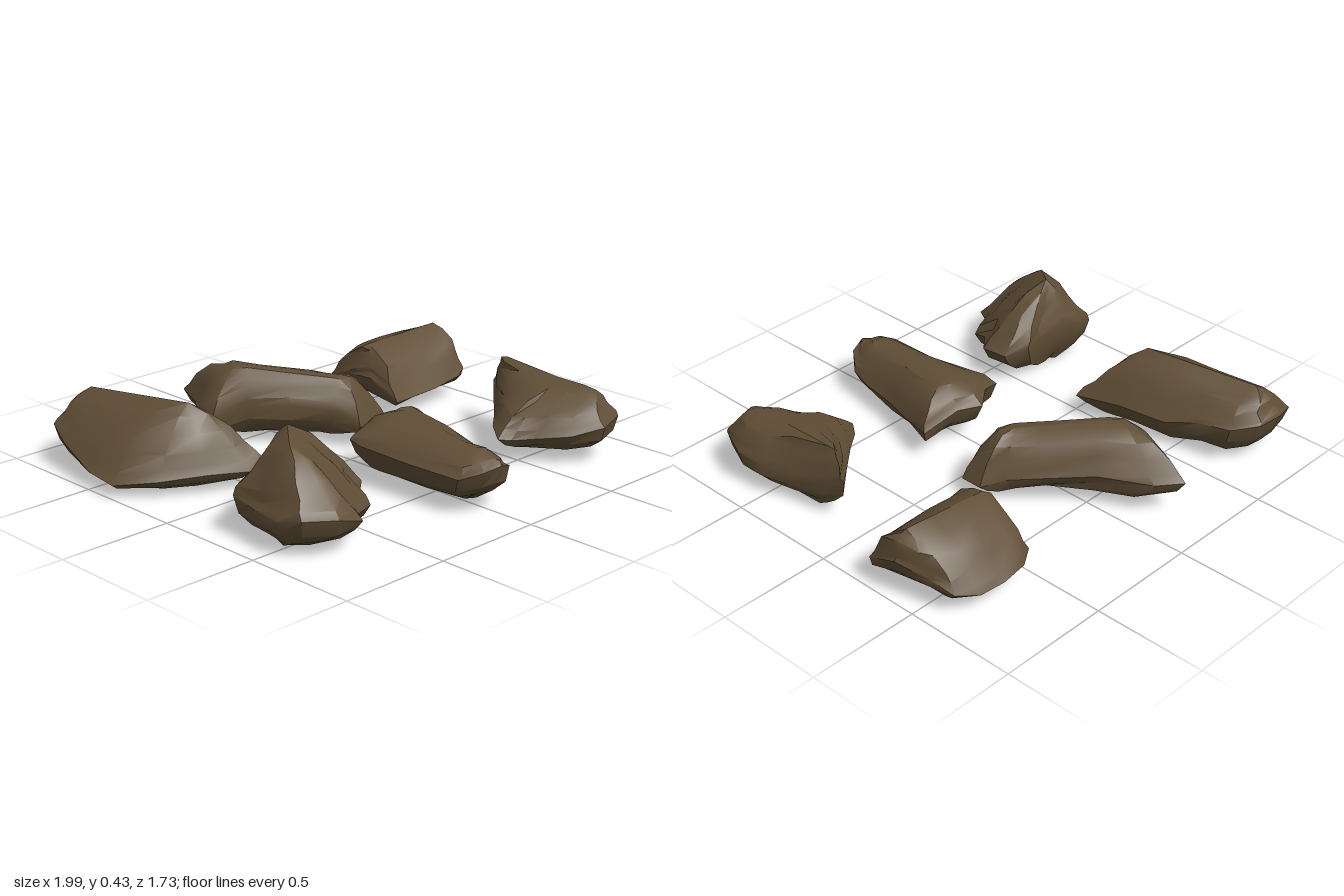
import * as THREE from 'three';
import { toCreasedNormals } from 'three/addons/utils/BufferGeometryUtils.js';

const stone = new THREE.MeshStandardMaterial({ color: 0x604e36, side: THREE.DoubleSide });
stone.name = 'brownStone';

// Small seeded generator for surface chips
function seeded(seed) {
  let s = seed * 7919 + 17;
  return () => {
    s = (s * 16807) % 2147483647;
    return s / 2147483647 - 0.5;
  };
}

// A rock: widest outline [x, z, y] clockwise from above, closing up onto a ridge
// segment [x, y, z] and down onto a shorter keel at height `base`. `bulge` rounds the slopes.
function makeRock(name, seed, outline, ridge, base, bulge) {
  const rnd = seeded(seed);
  const [a, b] = ridge.map((p) => new THREE.Vector3(...p));
  const middle = a.clone().lerp(b, 0.5);
  const dx = b.x - a.x, dz = b.z - a.z;
  const levels = [
    [-1, 1], [-0.6, 0.92], [-0.3, 0.7], [-0.1, 0.4], [0, 0],
    ...[0.1, 0.25, 0.45, 0.7, 1].map((t) => [t, 1 - Math.pow(1 - t, bulge)]),
  ];
  const n = outline.length;
  const pos = [];
  for (const [t, f] of levels) {
    const k = Math.abs(t);
    const rough = k === 0 || k === 1 ? 0 : 0.02;
    for (const [x, z, y] of outline) {
      const u = THREE.MathUtils.clamp(((x - a.x) * dx + (z - a.z) * dz) / (dx * dx + dz * dz), 0, 1);
      const s = a.clone().lerp(b, u);
      if (t < 0) s.lerp(middle, 0.5).setY(base);
      pos.push(
        x + (s.x - x) * k + rnd() * rough,
        y + (s.y - y) * f + rnd() * rough * 0.7,
        z + (s.z - z) * k + rnd() * rough
      );
    }
  }
  const index = [];
  for (let r = 0; r < levels.length - 1; r++) {
    for (let i = 0; i < n; i++) {
      const j = (i + 1) % n;
      const p = r * n + i, q = r * n + j;
      index.push(p, p + n, q, q, p + n, q + n);
    }
  }
  const geo = new THREE.BufferGeometry();
  geo.setAttribute('position', new THREE.Float32BufferAttribute(pos, 3));
  geo.setIndex(index);
  const mesh = new THREE.Mesh(toCreasedNormals(geo, 0.6), stone);
  mesh.name = name;
  return mesh;
}

export function createModel() {
  const group = new THREE.Group();
  group.name = 'rocks';

  // Large long boulder
  group.add(makeRock('backRightRock', 1, [
    [-0.92, -0.83, 0.19], [-0.8, -0.87, 0.22], [-0.68, -0.86, 0.22], [-0.59, -0.77, 0.2],
    [-0.57, -0.62, 0.18], [-0.51, -0.48, 0.15], [-0.49, -0.25, 0.14], [-0.45, -0.04, 0.12],
    [-0.53, -0.03, 0.09], [-0.7, -0.1, 0.1], [-0.88, -0.2, 0.09], [-1, -0.34, 0.07],
    [-0.99, -0.5, 0.08], [-0.95, -0.72, 0.14],
  ], [[-0.77, 0.335, -0.76], [-0.66, 0.36, -0.26]], 0.012, 1.5));

  // Narrow diagonal boulder with a flat top
  group.add(makeRock('backMiddleRock', 2, [
    [-0.2, -0.85, 0.17], [-0.1, -0.77, 0.17], [0.02, -0.57, 0.18], [0.16, -0.4, 0.16],
    [0.24, -0.27, 0.13], [0.32, -0.2, 0.1], [0.31, -0.09, 0.09], [0.23, -0.06, 0.1],
    [0.1, -0.04, 0.12], [0.05, -0.14, 0.18], [-0.08, -0.28, 0.2], [-0.2, -0.43, 0.19],
    [-0.33, -0.52, 0.12], [-0.33, -0.6, 0.13], [-0.26, -0.7, 0.16],
  ], [[-0.15, 0.35, -0.51], [0.13, 0.31, -0.22]], 0.05, 2.4));

  // Wedge with a ridge running sideways
  group.add(makeRock('backLeftRock', 3, [
    [0.5, -0.64, 0.12], [0.58, -0.69, 0.11], [0.7, -0.7, 0.1], [0.82, -0.69, 0.1],
    [0.91, -0.64, 0.12], [0.94, -0.54, 0.16], [0.99, -0.4, 0.2], [0.98, -0.25, 0.14],
    [0.92, -0.22, 0.12], [0.75, -0.21, 0.1], [0.6, -0.2, 0.1], [0.48, -0.19, 0.1],
    [0.47, -0.35, 0.18], [0.48, -0.5, 0.17],
  ], [[0.54, 0.31, -0.43], [0.94, 0.33, -0.41]], 0.06, 1.7));

  // Tall peaked rock
  group.add(makeRock('frontRightRock', 4, [
    [-0.9, 0.28, 0.18], [-0.8, 0.26, 0.22], [-0.72, 0.28, 0.25], [-0.6, 0.31, 0.21],
    [-0.5, 0.29, 0.2], [-0.41, 0.35, 0.17], [-0.41, 0.48, 0.16], [-0.5, 0.56, 0.15],
    [-0.51, 0.63, 0.13], [-0.63, 0.68, 0.14], [-0.66, 0.74, 0.14], [-0.77, 0.73, 0.17],
    [-0.9, 0.66, 0.18], [-0.93, 0.56, 0.16], [-0.91, 0.42, 0.16],
  ], [[-0.79, 0.41, 0.48], [-0.7, 0.44, 0.37]], 0.01, 1.35));

  // Rounded slab
  group.add(makeRock('frontMiddleRock', 5, [
    [-0.19, 0.19, 0.2], [-0.1, 0.17, 0.22], [-0.02, 0.11, 0.2], [0.08, 0.16, 0.2],
    [0.25, 0.19, 0.15], [0.2, 0.35, 0.13], [0.15, 0.5, 0.12], [0.12, 0.68, 0.12],
    [0.1, 0.78, 0.14], [0.05, 0.84, 0.2], [-0.02, 0.86, 0.22], [-0.1, 0.83, 0.2],
    [-0.16, 0.76, 0.17], [-0.17, 0.5, 0.17], [-0.2, 0.26, 0.19],
  ], [[-0.02, 0.26, 0.72], [0.05, 0.29, 0.28]], 0.035, 2.6));

  // Triangular rock with a ridge running front to back
  group.add(makeRock('frontLeftRock', 6, [
    [0.78, 0.11, 0.21], [0.8, 0.2, 0.17], [0.84, 0.38, 0.15], [0.88, 0.5, 0.16],
    [0.9, 0.62, 0.18], [0.84, 0.76, 0.19], [0.7, 0.8, 0.18], [0.58, 0.72, 0.15],
    [0.5, 0.6, 0.13], [0.43, 0.52, 0.12], [0.38, 0.49, 0.13], [0.45, 0.4, 0.15],
    [0.55, 0.32, 0.16], [0.68, 0.2, 0.18],
  ], [[0.77, 0.34, 0.2], [0.75, 0.31, 0.64]], 0.035, 2));

  return group;
}
